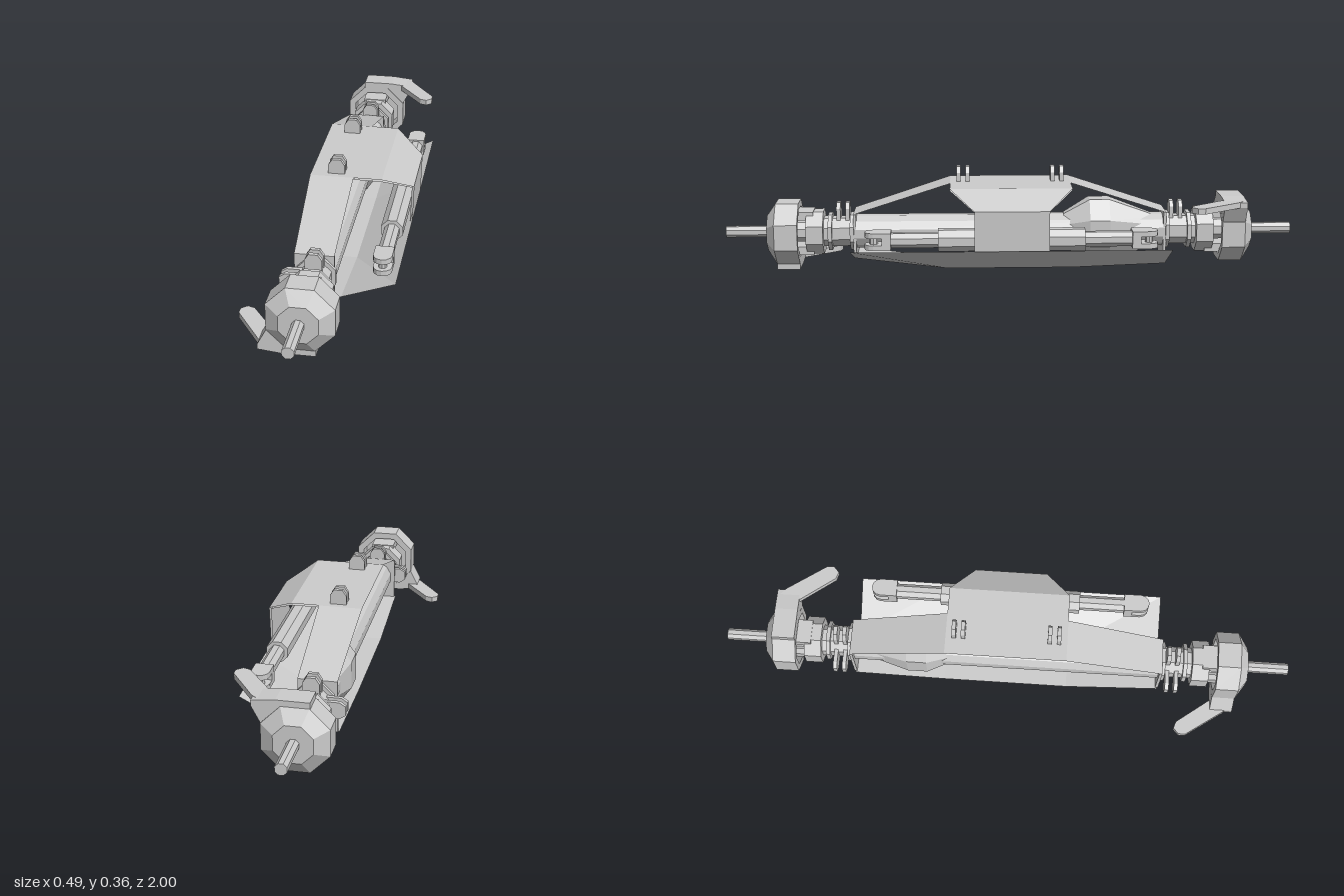
import * as THREE from 'three';

const mat = new THREE.MeshStandardMaterial({ color: 0xcccccc, flatShading: true });
const thin = new THREE.MeshStandardMaterial({ color: 0xcccccc, flatShading: true, side: THREE.DoubleSide });
const CX = -0.012, CY = 0.13; // axle centre line

function add(parent, name, geo, m = mat) {
  const mesh = new THREE.Mesh(geo, m);
  mesh.name = name;
  parent.add(mesh);
  return mesh;
}

// Eight-sided turned part along z; points are [flat-to-centre radius, z]
function turned(points, sides = 8) {
  const k = 1 / Math.cos(Math.PI / sides);
  const pts = points.map(([r, z]) => new THREE.Vector2(r * k, z));
  return new THREE.LatheGeometry(pts, sides, Math.PI / sides).rotateX(Math.PI / 2);
}
const rod = (r, z0, z1, sides) => turned([[0, z0], [r, z0], [r, z1], [0, z1]], sides);

// Flat outline extruded along z from z0 to z1
function slab(points, z0, z1) {
  const shape = new THREE.Shape(points.map(p => new THREE.Vector2(...p)));
  return new THREE.ExtrudeGeometry(shape, { depth: z1 - z0, bevelEnabled: false }).translate(0, 0, z0);
}

// Folded sheet from rows of points of equal length
function sheet(rows) {
  const n = rows[0].length, index = [];
  for (let i = 0; i < rows.length - 1; i++)
    for (let j = 0; j < n - 1; j++) {
      const a = i * n + j, b = a + n;
      index.push(a, b, a + 1, b, b + 1, a + 1);
    }
  const g = new THREE.BufferGeometry();
  g.setAttribute('position', new THREE.Float32BufferAttribute(rows.flat(2), 3));
  g.setIndex(index);
  g.computeVertexNormals();
  return g;
}

// Pair of upright tabs with chamfered tops
function lugPair(name, height) {
  const g = new THREE.Group();
  g.name = name;
  const outline = [[-0.028, 0], [0.028, 0], [0.028, height - 0.02], [0.015, height], [-0.015, height], [-0.028, height - 0.02]];
  for (const z of [-0.023, 0.009]) add(g, 'lug', slab(outline, z, z + 0.014));
  return g;
}

// Wheel hub, steering arm and knuckle, centred on the axle line
function axleEnd(name) {
  const g = new THREE.Group();
  g.name = name;
  add(g, 'stubShaft', rod(0.019, 0.79, 1));
  add(g, 'hub', turned([[0, 0.8], [0.085, 0.8], [0.085, 0.74], [0.108, 0.74], [0.108, 0.82], [0.0625, 0.852], [0, 0.852]]));
  add(g, 'knuckleCup', rod(0.075, 0.655, 0.715));
  for (const s of [-1, 1])
    add(g, 'yokeEar', new THREE.BoxGeometry(0.085, 0.03, 0.1).translate(0, s * 0.062, 0.74));
  add(g, 'jointBall', rod(0.035, 0.71, 0.76));
  // Arm root hugging the underside of the hub
  add(g, 'armRoot', slab([[-0.106, -0.045], [-0.136, -0.102], [-0.136, -0.12], [-0.06, -0.128],
    [0.047, -0.128], [0.047, -0.108], [-0.045, -0.108], [-0.106, -0.048]], 0.74, 0.82));
  // Swept steering arm, outline in x and z
  const arm = slab([[-0.234, 0.655], [-0.234, 0.63], [-0.214, 0.612], [-0.19, 0.62], [-0.13, 0.7],
    [-0.1, 0.74], [-0.06, 0.745], [-0.06, 0.82], [-0.11, 0.815], [-0.14, 0.79]], 0, 0.02);
  add(g, 'steeringArm', arm.rotateX(Math.PI / 2).translate(0, -0.102, 0));
  return g;
}

export function createModel() {
  const model = new THREE.Group();
  model.name = 'axleAssembly';

  // Axle core; the two ends are opposites through the centre
  const axle = new THREE.Group();
  axle.name = 'axle';
  axle.position.set(CX, CY, 0);
  model.add(axle);
  add(axle, 'axleTube', rod(0.058, -0.56, 0.56, 12));
  const front = axleEnd('frontEnd'), rear = axleEnd('rearEnd');
  rear.scale.set(-1, -1, -1);
  axle.add(front, rear);

  // Differential bulge
  add(axle, 'differential', turned([[0, -0.52], [0.05, -0.52], [0.113, -0.35], [0.113, -0.28], [0.06, -0.19], [0, -0.19]])
    .scale(0.7, 1, 1));

  for (const s of [-1, 1]) {
    // Necks, flanges and mounting lugs between tube and knuckle
    const [n0, n1] = s > 0 ? [0.55, 0.66] : [-0.66, -0.55];
    add(axle, 'neck', rod(0.05, n0, n1));
    for (const z of [0.555, 0.632])
      add(axle, 'flange', rod(0.063, s * z - 0.007, s * z + 0.007));
    const top = lugPair('topLugs', 0.065);
    top.position.set(0, 0.04, s * 0.587);
    const side = lugPair('sideLugs', 0.071);
    side.rotation.z = Math.PI / 2;
    side.position.set(-0.04, 0, s * 0.587);
    axle.add(top, side);

    const link = lugPair('bridgeLugs', 0.055);
    link.position.set(CX, 0.306, s * 0.165);
    model.add(link);

    // End plates joining bridge and skid
    add(model, 'endPlate', slab([[-0.085, s > 0 ? 0.05 : 0.022], [0.045, s > 0 ? 0.05 : 0.022], [0.045, 0.2], [-0.085, 0.2]],
      s * 0.545 - 0.005, s * 0.545 + 0.005));
  }

  // Top bridge plate sloping down at both ends
  add(model, 'bridgePlate', sheet([[0.55, 0.2, -0.085, 0.045], [0.21, 0.31, -0.098, 0.05], [-0.21, 0.31, -0.098, 0.05],
    [-0.55, 0.2, -0.085, 0.045]].map(([z, y, x0, x1]) => [[x0, y, z], [x1, y, z]])), thin);

  // Strap folding from the bridge down to the skid edge, two skins
  for (const t of [0, 0.007])
    add(model, 'sideStrap', sheet([[0.05, 0.31 - t, 0.21], [0.145 - t / 3, 0.31 - t, 0.21], [0.245 - t, 0.251 - t / 2, 0.127],
      [0.241 - t, 0.113, 0.127]].map(([x, y, z]) => [[x, y, z], [x, y, -z]])), thin);

  // Skid plate with raised ends
  add(model, 'skidPlate', sheet([[0.545, 0.05], [0.22, 0.01], [-0.22, 0.01], [-0.545, 0.022]].map(([z, y]) =>
    [[-0.09, y, z], [0.065, y, z], [0.241, 0.114, z]])), thin);

  // Steering ram beside the axle
  const ram = new THREE.Group();
  ram.name = 'steeringRam';
  ram.position.set(0.188, 0.143, 0);
  model.add(ram);
  add(ram, 'ramBody', rod(0.037, -0.25, 0.25));
  add(ram, 'ramRod', rod(0.025, -0.43, 0.43));
  for (const s of [-1, 1]) {
    add(ram, 'clevisBase', new THREE.BoxGeometry(0.062, 0.06, 0.03).translate(0, 0, s * 0.425));
    for (const y of [-0.021, 0.021]) {
      add(ram, 'clevisPlate', new THREE.BoxGeometry(0.062, 0.018, 0.04).translate(0, y, s * 0.45));
      add(ram, 'clevisEye', new THREE.CylinderGeometry(0.031, 0.031, 0.018, 12).translate(0, y, s * 0.469));
    }
    add(ram, 'clevisPin', new THREE.CylinderGeometry(0.014, 0.014, 0.05, 8).translate(0, 0, s * 0.469));
  }
  return model;
}
